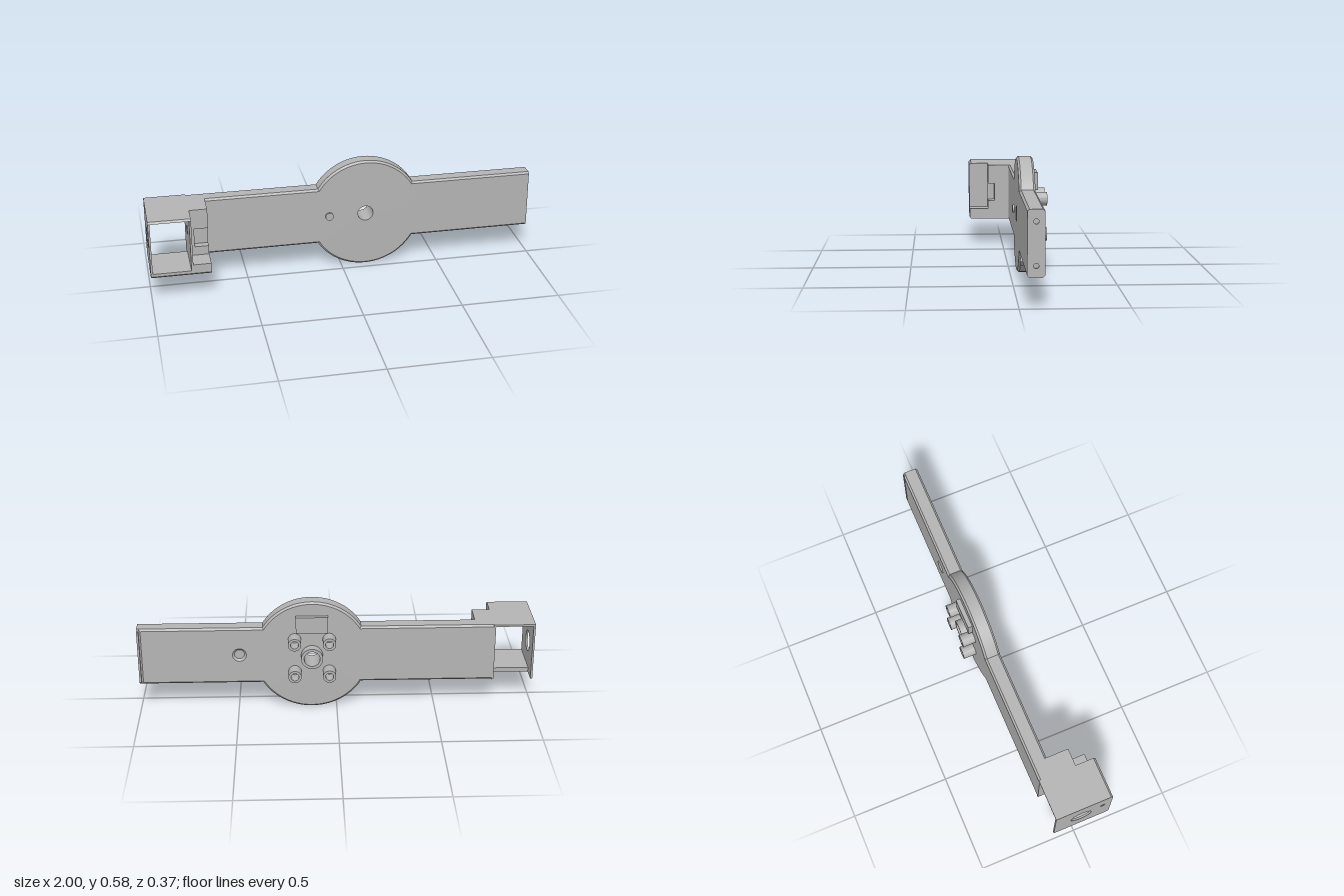
import * as THREE from 'three';
import { toCreasedNormals } from 'three/addons/utils/BufferGeometryUtils.js';

const grey = new THREE.MeshStandardMaterial({ color: 0xb4b4b4, side: THREE.DoubleSide });
grey.name = 'plain grey';

const CX = 0.125, CY = 0.293;   // hub centre
const Y0 = 0.142, Y1 = 0.447;   // bar bottom and top
const ZB = -0.115, ZF = -0.035; // bar back and front
const C = 0.01;                 // chamfer and wall thickness

export function createModel() {
  const model = new THREE.Group();

  const add = (name, geo) => {
    const mesh = new THREE.Mesh(toCreasedNormals(geo, 0.5), grey);
    mesh.name = name;
    model.add(mesh);
  };

  const box = (name, x0, x1, y0, y1, z0, z1) =>
    add(name, new THREE.BoxGeometry(x1 - x0, y1 - y0, z1 - z0)
      .translate((x0 + x1) / 2, (y0 + y1) / 2, (z0 + z1) / 2));

  const makeShape = (points, holes) => {
    const shape = new THREE.Shape(points.map(p => new THREE.Vector2(...p)));
    for (const [x, y, r] of holes) shape.holes.push(new THREE.Path().absarc(x, y, r, 0, Math.PI * 2, true));
    return shape;
  };

  // Outline in (z, y), extruded along x
  const extrudeX = (name, points, x0, x1, holes = []) => {
    const shape = makeShape(points.map(([z, y]) => [-z, y]), holes.map(([z, y, r]) => [-z, y, r]));
    add(name, new THREE.ExtrudeGeometry(shape, { depth: x1 - x0, bevelEnabled: false, curveSegments: 20 })
      .rotateY(Math.PI / 2).translate(x0, 0, 0));
  };

  // Closed (radius, z) profile turned about an axis along z; angle 0 points down
  const turned = (name, profile, x, y, segments = 32, from = 0, to = 360) => {
    const points = [...profile, profile[0]].map(p => new THREE.Vector2(...p));
    const rad = THREE.MathUtils.degToRad;
    add(name, new THREE.LatheGeometry(points, segments, rad(from), rad(to - from))
      .rotateX(Math.PI / 2).translate(x, y, 0));
  };
  const tube = (name, x, y, inner, outer, z0, z1) =>
    turned(name, [[inner, z0], [outer, z0], [outer, z1], [inner, z1]], x, y);

  // Two bar arms: chamfered core with a bevelled back panel
  const core = [[ZB + C, Y0], [ZF - C, Y0], [ZF, Y0 + C], [ZF, Y1 - C], [ZF - C, Y1], [ZB + C, Y1]];
  const arms = [['rightArm', -0.8, CX - 0.23, []], ['leftArm', CX + 0.23, 0.99, [[0.49, 0.3, 0.025]]]];
  for (const [name, x0, x1, holes] of arms) {
    extrudeX(name, core, x0, x1);
    const outline = [[x0, Y0], [x1, Y0], [x1, Y1], [x0, Y1]];
    add(name + 'BackPanel', new THREE.ExtrudeGeometry(makeShape(outline, holes), {
      depth: C, bevelThickness: C, bevelSize: C, bevelOffset: -C, bevelSegments: 1, curveSegments: 20,
    }).translate(0, 0, ZB + C));
  }

  // End cap with two screw holes
  const cap = [[ZB, Y0 + C], [ZB + C, Y0], [ZF - C, Y0], [ZF, Y0 + C],
    [ZF, Y1 - C], [ZF - C, Y1], [ZB + C, Y1], [ZB, Y1 - C]];
  extrudeX('endCap', cap, 0.99, 1, [[-0.075, 0.195, 0.012], [-0.075, 0.393, 0.012]]);

  // Hollow round hub: two chamfered plates and a rim with two slots below the arms
  const R = 0.291;
  turned('hubFrontPlate', [[0.04, ZF - C], [R, ZF - C], [R - C, ZF], [0.04, ZF]], CX, CY, 72);
  turned('hubBackPlate', [[0.04, ZB], [R - C, ZB], [R, ZB + C], [0.04, ZB + C]], CX, CY, 72);
  const rim = [[R - 0.02, ZB + C], [R, ZB + C], [R, ZF - C], [R - 0.02, ZF - C]];
  turned('hubLowerRim', rim, CX, CY, 18, -39, 39);
  turned('hubUpperRim', rim, CX, CY, 50, 58, 302);

  // Hub fittings
  tube('centreSleeve', CX, CY, 0.04, 0.055, -0.16, ZF - 0.001);
  for (const sx of [-1, 1]) for (const sy of [-1, 1])
    tube('mountingPost', CX + sx * 0.087, CY + sy * 0.089, 0.02, 0.033, -0.182, ZB);
  box('backPad', 0.045, 0.205, 0.425, 0.511, -0.137, ZB);
  add('frontPin', new THREE.CylinderGeometry(0.021, 0.021, 0.02, 24)
    .rotateX(Math.PI / 2).translate(-0.065, CY, -0.035));

  // End housing, open at front and back
  const wall = [[ZB, Y0], [0.173, Y0], [0.183, Y0 + C], [0.183, Y1 - C], [0.173, Y1], [ZB, Y1]];
  extrudeX('housingOuterWall', wall, -1, -0.99, [[0.024, CY, 0.054], [0.137, 0.335, 0.012]]);
  extrudeX('housingDivider', wall, -0.8, -0.79, [[0.02, 0.315, 0.025]]);
  extrudeX('housingRoof', [[ZB, Y1 - C], [0.183, Y1 - C], [0.173, Y1], [ZB, Y1]], -0.99, -0.8);
  extrudeX('housingFloor', [[ZF, Y0], [0.173, Y0], [0.183, Y0 + C], [0.183, 0.167], [ZF, 0.167]], -0.99, -0.8);

  // Inner block with a corner recess and a low step in front
  box('innerBlock', -0.79, -0.7, Y0, Y1, ZF - C, 0.042);
  box('innerBlockLower', -0.79, -0.7, Y0, 0.245, 0.042, 0.079);
  box('innerBlockUpper', -0.79, -0.7, 0.343, Y1, 0.042, 0.079);
  box('innerBlockSide', -0.79, -0.77, 0.245, 0.343, 0.042, 0.079);
  extrudeX('frontStep', [[0.079, Y0], [0.173, Y0], [0.183, Y0 + C], [0.183, 0.199], [0.079, 0.199]], -0.79, -0.7);

  return model;
}
